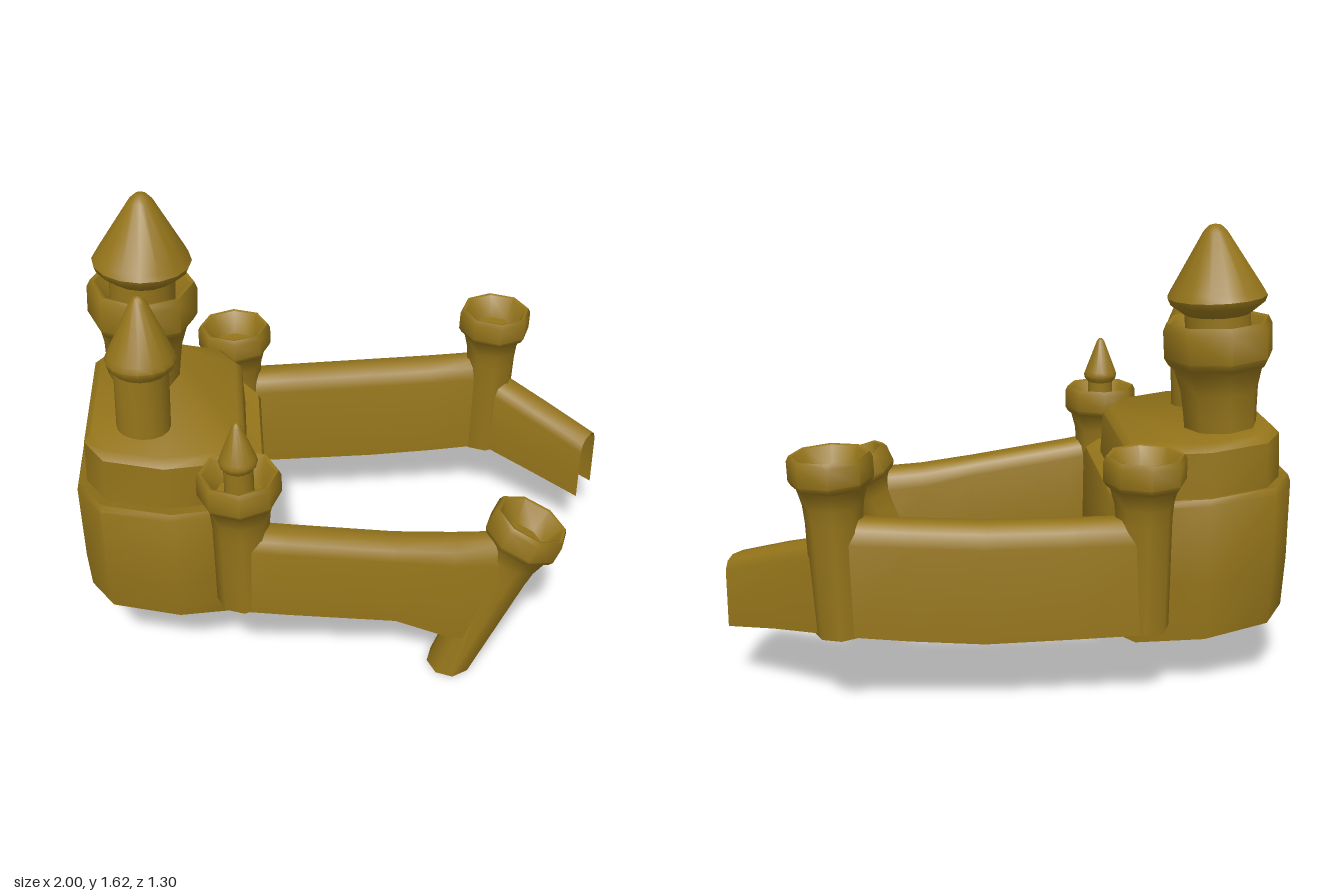
import * as THREE from 'three';
import { toCreasedNormals } from 'three/addons/utils/BufferGeometryUtils.js';

const material = new THREE.MeshStandardMaterial({ color: 0x94741a, side: THREE.DoubleSide });
const V = (x, y, z) => new THREE.Vector3(x, y, z);

function part(name, geometry, crease = 0.9) {
  const mesh = new THREE.Mesh(toCreasedNormals(geometry, crease), material);
  mesh.name = name;
  return mesh;
}

const lathe = (points, sides) =>
  new THREE.LatheGeometry(points.map(([r, y]) => new THREE.Vector2(r, y)), sides);

// Skin a list of equal-length loops; closed loops also get a cap on the last one
function loft(loops, closed) {
  const n = loops[0].length, pos = [], index = [];
  loops.forEach(loop => loop.forEach(p => pos.push(p.x, p.y, p.z)));
  for (let i = 0; i < loops.length - 1; i++) {
    for (let j = 0; j < (closed ? n : n - 1); j++) {
      const a = i * n + j, b = i * n + (j + 1) % n;
      index.push(a, a + n, b, b, a + n, b + n);
    }
  }
  if (closed) {
    const last = (loops.length - 1) * n;
    for (let j = 1; j < n - 1; j++) index.push(last, last + j + 1, last + j);
  }
  const g = new THREE.BufferGeometry();
  g.setAttribute('position', new THREE.Float32BufferAttribute(pos, 3));
  g.setIndex(index);
  return g;
}

// Chamfered two-tier keep, open underneath, with sloping levels
function keep() {
  const half = [[0, -0.49], [0.24, -0.44], [0.325, -0.31]];
  const outline = [
    ...half,
    ...half.slice(1).reverse().map(([x, z]) => [x, -z]),
    [0, 0.49],
    ...half.slice(1).map(([x, z]) => [-x, -z]),
    ...half.slice(1).reverse().map(([x, z]) => [-x, z]),
  ];
  const ring = ([shift, sx, sz, y, slopeX, slopeZ]) => outline.map(([x, z]) =>
    V(-0.675 + shift + x * sx, y + slopeX * x * sx + slopeZ * z * sz, z * sz));
  return part('keep', loft([
    [0, 0.98, 0.97, 0.245, -0.125, 0.07],
    [0, 1, 1, 0.42, -0.09, 0],
    [0, 1, 1, 0.705, -0.09, 0],
    [0, 0.975, 0.98, 0.728, -0.09, 0],
    [-0.015, 0.86, 0.87, 0.715, -0.09, 0],
    [-0.015, 0.84, 0.86, 0.875, -0.09, 0],
    [-0.015, 0.77, 0.8, 0.9, -0.09, 0],
  ].map(ring), true), 0.8);
}

// Round roof with a rolled-in eave and blunt tip
function roof(w, h, y) {
  const mesh = part('roof', lathe([
    [0, 0], [0.6 * w, 0], [0.95 * w, 0.15 * h], [w, 0.22 * h], [0.93 * w, 0.29 * h],
    [0.24 * w, 0.92 * h], [0.12 * w, 0.985 * h], [0, h]], 16), 0.7);
  mesh.position.y = y;
  return mesh;
}

function post(r, y0, y1) {
  return part('post', lathe([[r, y0], [r, y1]], 16));
}

// Group whose local y axis runs from base to top
function along(name, base, top) {
  const group = new THREE.Group();
  group.name = name;
  group.position.copy(base);
  group.quaternion.setFromUnitVectors(V(0, 1, 0), top.clone().sub(base).normalize());
  return group;
}

// Eight-sided tower with a flared neck and hollow rim; k scales its girth
function tower(name, base, top, k = 1, grounded = false) {
  const group = along(name, base, top), L = base.distanceTo(top);
  const g = lathe([
    [0.094, 0], [0.097, L / k - 0.23], [0.102, L / k - 0.17], [0.117, L / k - 0.115],
    [0.132, L / k - 0.102], [0.142, L / k - 0.085], [0.142, L / k - 0.018], [0.133, L / k],
    [0.122, L / k - 0.003], [0.085, L / k - 0.085], [0, L / k - 0.09]].map(([r, y]) => [r * k, y * k]), 8);
  if (grounded) {
    // Narrow the foot and slide it along the tower axis until it lies flat on the ground
    const p = g.attributes.position, dir = top.clone().sub(base).normalize();
    for (let i = 0; i < p.count; i++) {
      if (p.getY(i) > 0.001) continue;
      p.setX(i, p.getX(i) * 0.8);
      const w = V().fromBufferAttribute(p, i).applyQuaternion(group.quaternion).add(base);
      p.setY(i, -w.y / dir.y);
    }
  }
  group.add(part('shaft', g));
  return group;
}

// Hollow wall: an arched section swept along stations [x, z, bottom, top, lean of the top in x]
function wall(name, stations, width = 0.14) {
  const section = [[-0.5, 0], [-0.49, 0.8], [-0.4, 0.92], [-0.2, 0.985], [0.2, 0.985], [0.4, 0.92], [0.49, 0.8], [0.5, 0]];
  const first = stations[0], last = stations[stations.length - 1];
  const side = V(first[1] - last[1], 0, last[0] - first[0]).normalize();
  const loops = stations.map(([x, z, low, high, lean = 0]) => section.map(([s, t]) =>
    V(x + lean * t, low + (high - low) * t, z).addScaledVector(side, s * width)));
  return part(name, loft(loops, false), 0.8);
}

export function createModel() {
  const model = new THREE.Group();
  model.name = 'castle';
  model.add(keep());

  // Towers standing on the keep
  const great = tower('greatTower', V(-0.78, 0.86, -0.16), V(-0.75, 1.29, -0.16), 1.48);
  great.scale.x = 0.93;
  great.add(post(0.125, 0.28, 0.49), roof(0.188, 0.32, 0.445));
  const small = along('smallTower', V(-0.765, 0.86, 0.19), V(-0.74, 1.41, 0.185));
  small.add(post(0.094, 0, 0.29), roof(0.122, 0.3, 0.25));
  model.add(great, small);

  // Towers along the outer walls
  const front = tower('frontTower', V(-0.445, 0.37, 0.5), V(-0.44, 0.905, 0.5));
  front.add(post(0.05, 0.43, 0.565), roof(0.066, 0.19, 0.54));
  model.add(
    front,
    tower('backTower', V(-0.445, 0.285, -0.505), V(-0.44, 0.9, -0.512)),
    tower('cornerTower', V(0.58, 0.3, -0.505), V(0.605, 0.925, -0.5)),
    tower('leaningTower', V(0.3, 0.01, 0.495), V(0.568, 0.63, 0.492), 1, true),
  );

  // Curtain walls, the last one broken off at its end
  model.add(
    wall('frontWall', [[-0.44, 0.515, 0.37, 0.7], [-0.3, 0.515, 0.345, 0.675], [0.08, 0.515, 0.285, 0.615], [0.29, 0.505, 0.175, 0.59], [0.36, 0.5, 0.17, 0.575, 0.17]]),
    wall('backWall', [[-0.44, -0.52, 0.285, 0.69], [-0.2, -0.525, 0.28, 0.69], [0.1, -0.53, 0.275, 0.692], [0.35, -0.52, 0.29, 0.702], [0.58, -0.51, 0.31, 0.715]]),
    wall('brokenWall', [[0.6, -0.5, 0.31, 0.645], [0.78, -0.35, 0.27, 0.57], [0.955, -0.21, 0.225, 0.49]], 0.13),
  );
  return model;
}
